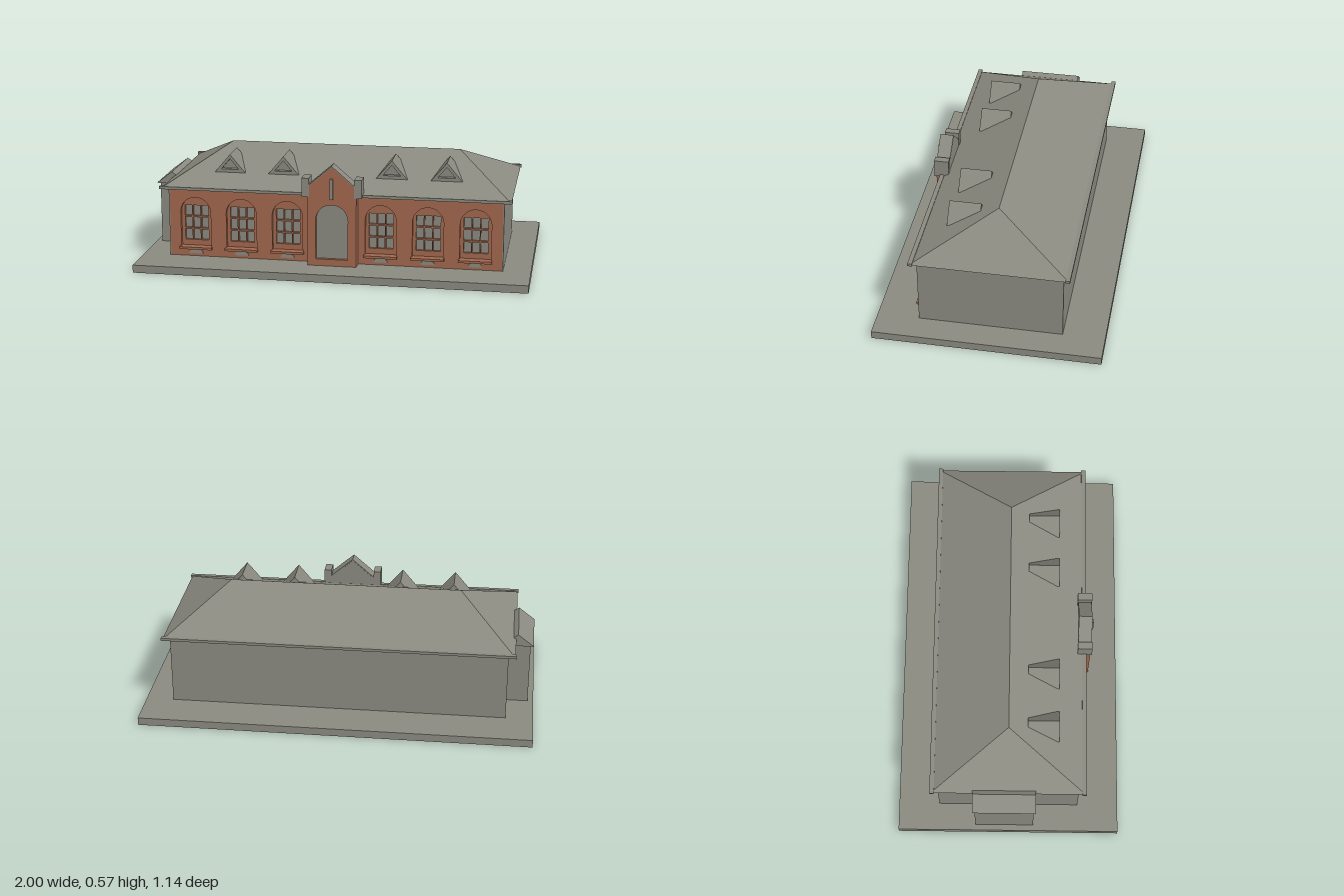
import * as THREE from 'three';

export function createModel() {
  const root = new THREE.Group();
  root.name = 'stationBuilding';
  const stone = new THREE.MeshStandardMaterial({ color: 0x8a8a80 });
  stone.name = 'grey stone';
  const brick = new THREE.MeshStandardMaterial({ color: 0xa2694f });
  brick.name = 'red brick';

  const add = (name, geo, mat, parent = root) => {
    const mesh = new THREE.Mesh(geo, mat);
    mesh.name = name;
    parent.add(mesh);
    return mesh;
  };
  // box given by its limits on each axis
  const box = (name, mat, x0, x1, y0, y1, z0, z1, parent = root) => {
    const mesh = add(name, new THREE.BoxGeometry(x1 - x0, y1 - y0, z1 - z0), mat, parent);
    mesh.position.set((x0 + x1) / 2, (y0 + y1) / 2, (z0 + z1) / 2);
    return mesh;
  };
  const poly = (pts, Type = THREE.Shape) => new Type(pts.map(([x, y]) => new THREE.Vector2(x, y)));
  const rect = (x0, x1, y0, y1, Type) => poly([[x0, y0], [x1, y0], [x1, y1], [x0, y1]], Type);
  // round-headed opening
  const arch = (x, r, y0, top, Type = THREE.Path) => {
    const s = new Type();
    s.moveTo(x - r, y0);
    s.lineTo(x + r, y0);
    s.lineTo(x + r, top - r);
    s.absarc(x, top - r, r, 0, Math.PI, false);
    s.lineTo(x - r, y0);
    return s;
  };
  const extrude = (shape, z0, z1) =>
    new THREE.ExtrudeGeometry(shape, { depth: z1 - z0, bevelEnabled: false, curveSegments: 16 }).translate(0, 0, z0);

  // ground slab and main walls
  box('baseSlab', stone, -1, 1, 0, 0.04, -0.57, 0.57);
  box('mainWalls', stone, -0.86, 0.86, 0.04, 0.4, -0.36, 0.325);
  for (const s of [-1, 1]) {
    box('wallEnd', stone, s * 0.8575 - 0.0025, s * 0.8575 + 0.0025, 0.04, 0.4, 0.325, 0.36);
  }

  // brick front with arched window niches
  const windowXs = [-0.72, -0.48, -0.24, 0.24, 0.48, 0.72];
  const facade = rect(-0.855, 0.855, 0.04, 0.4);
  for (const x of windowXs) facade.holes.push(arch(x, 0.079, 0.085, 0.352));
  add('brickFront', extrude(facade, 0.34, 0.36), brick);

  // niche backs pierced by three by three panes, sills and small lunettes
  const backing = rect(-0.855, 0.855, 0.04, 0.4);
  for (const x of windowXs) {
    for (let i = -1; i <= 1; i++) {
      for (let j = -1; j <= 1; j++) {
        const cx = x + i * 0.043, cy = 0.213 + j * 0.064;
        backing.holes.push(rect(cx - 0.0185, cx + 0.0185, cy - 0.028, cy + 0.028, THREE.Path));
      }
    }
    box('windowSill', brick, x - 0.085, x + 0.085, 0.08, 0.092, 0.34, 0.385);
    const lunette = new THREE.Shape();
    lunette.absellipse(x, 0.055, 0.036, 0.025, 0, Math.PI, false);
    add('lunette', extrude(lunette, 0.355, 0.366), stone);
  }
  add('windowFrames', extrude(backing, 0.325, 0.34), brick);

  // hipped roof: four eave corners and two ridge ends
  const [ex, ez, ey, rx, ry] = [0.895, 0.39, 0.4, 0.6, 0.575];
  const A = [-ex, ey, ez], B = [ex, ey, ez], C = [ex, ey, -ez], D = [-ex, ey, -ez];
  const L = [-rx, ry, 0], R = [rx, ry, 0];
  const faces = [A, B, R, A, R, L, C, D, L, C, L, R, B, C, R, D, A, L, A, D, C, A, C, B];
  const roofGeo = new THREE.BufferGeometry();
  roofGeo.setAttribute('position', new THREE.Float32BufferAttribute(faces.flat(), 3));
  roofGeo.computeVertexNormals();
  add('hippedRoof', roofGeo, stone);
  for (const s of [-1, 1]) {
    box('gutter', stone, -0.9, 0.9, 0.398, 0.412, s * 0.384 - 0.011, s * 0.384 + 0.011);
  }

  // triangular dormers with recessed fronts
  for (const x of [-0.56, -0.28, 0.28, 0.56]) {
    const dormer = new THREE.Group();
    dormer.name = 'dormer';
    dormer.position.x = x;
    root.add(dormer);
    const outer = [[-0.08, 0.465], [0.08, 0.465], [0, 0.56]];
    add('dormerBody', extrude(poly(outer), 0.095, 0.23), stone, dormer);
    const frame = poly(outer);
    frame.holes.push(poly([[-0.046, 0.482], [0.046, 0.482], [0, 0.537]], THREE.Path));
    add('dormerFrame', extrude(frame, 0.23, 0.255), stone, dormer);
  }

  // gabled entrance bay
  const bay = poly([[-0.125, 0.04], [0.125, 0.04], [0.125, 0.447], [0, 0.555], [-0.125, 0.447]]);
  bay.holes.push(arch(0, 0.082, 0.075, 0.36));
  add('entranceBay', extrude(bay, 0.355, 0.42), brick);
  add('door', extrude(arch(0, 0.082, 0.075, 0.36, THREE.Shape), 0.36, 0.402), stone);
  box('gableSlit', stone, -0.008, 0.008, 0.39, 0.495, 0.41, 0.432);
  const coping = poly([[-0.125, 0.447], [0, 0.555], [0.125, 0.447], [0.125, 0.453], [0, 0.561], [-0.125, 0.453]]);
  add('gableCoping', extrude(coping, 0.353, 0.421), stone);
  // plain rear of the gable above the roof
  add('gableBack', extrude(poly([[-0.125, 0.4], [0.125, 0.4], [0.125, 0.447], [0, 0.555], [-0.125, 0.447]]), 0.352, 0.355), stone);
  for (const s of [-1, 1]) {
    box('gablePier', stone, s * 0.134 - 0.019, s * 0.134 + 0.019, 0.4, 0.495, 0.349, 0.424);
  }

  // side annex with a small pitched roof
  box('annexWalls', stone, -0.97, -0.86, 0.04, 0.37, -0.17, 0.13);
  const annexRoof = poly([[-0.987, 0.362], [-0.86, 0.362], [-0.86, 0.393], [-0.905, 0.425]]);
  add('annexRoof', extrude(annexRoof, -0.18, 0.14), stone);

  return root;
}
